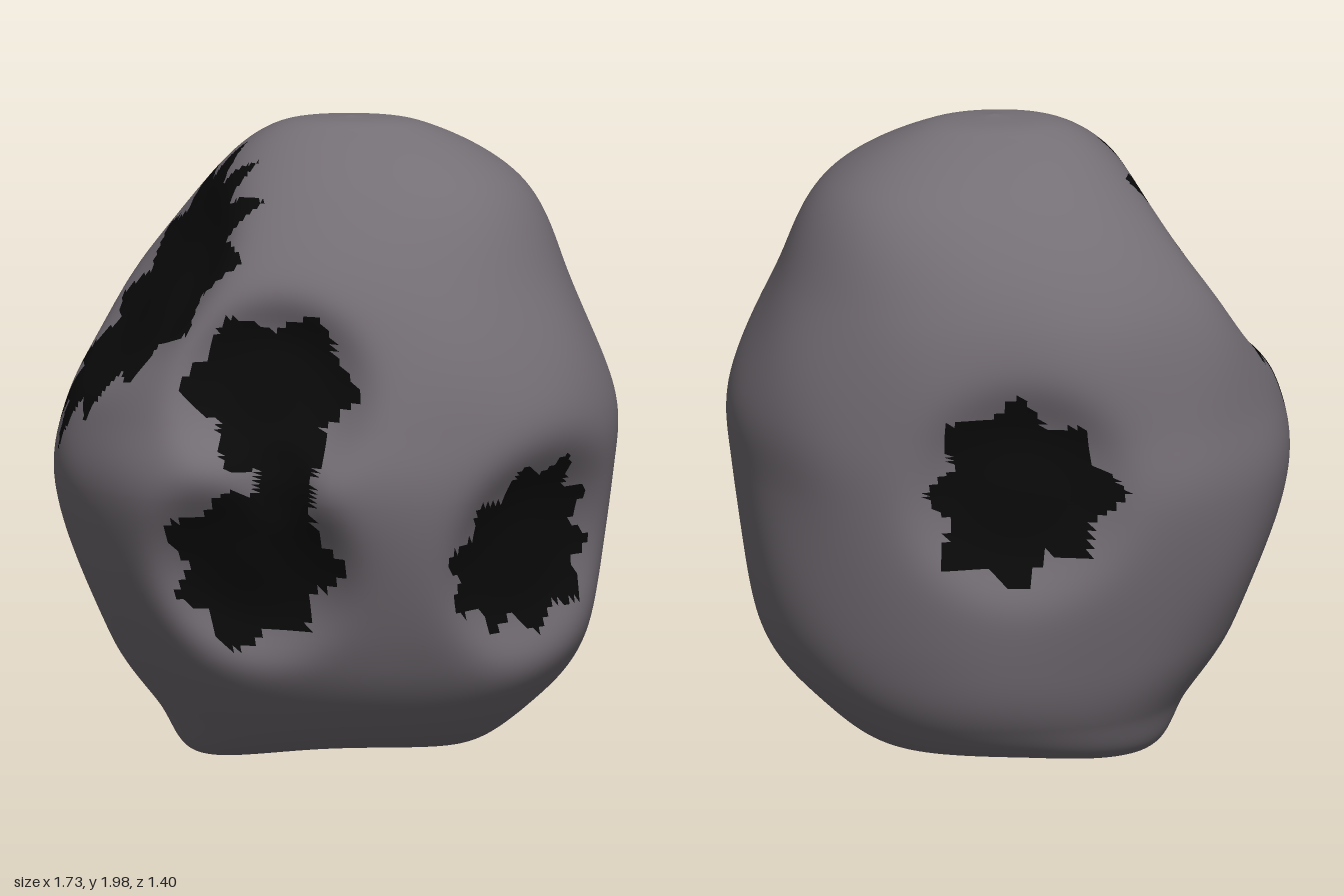
import * as THREE from 'three';

// Body cross-sections from underside to crown: [y, xMin, xMax, zMin, zMax]
const SECTIONS = [
  [0.07, 0, 0, -0.05, -0.05],
  [0.01, -0.42, 0.35, -0.4, 0.18],
  [0.18, -0.54, 0.6, -0.55, 0.42],
  [0.4, -0.69, 0.77, -0.63, 0.57],
  [0.9, -0.86, 0.85, -0.71, 0.73],
  [1.13, -0.82, 0.86, -0.7, 0.7],
  [1.5, -0.67, 0.72, -0.65, 0.58],
  [1.8, -0.4, 0.57, -0.46, 0.36],
  [1.97, -0.18, 0.28, -0.18, 0.1],
  [2, 0.05, 0.05, -0.02, -0.02],
];

// Hollows: centre, inward push, half width, half height, number of spikes
const HOLLOWS = [
  hollow([-0.19, 1.23, 0.66], [0.01, 0, -0.13], 0.27, 0.26, 6),
  hollow([-0.16, 0.95, 0.66], [0.01, 0, -0.04], 0.11, 0.16, 3),
  hollow([-0.25, 0.69, 0.66], [0.01, 0, -0.13], 0.28, 0.25, 7),
  hollow([0.63, 0.72, 0.4], [-0.1, 0, -0.07], 0.31, 0.28, 10),
  hollow([-0.54, 1.48, 0.11], [0.1, -0.08, 0], 0.34, 0.53, 13),
  hollow([0.01, 0.97, -0.7], [0, 0, 0.1], 0.3, 0.3, 8),
  hollow([0.02, 0.04, -0.09], [0, 0.08, 0], 0.36, 0.3, 10),
];

function hollow(centre, inward, width, height, spikes) {
  const c = new THREE.Vector3(...centre);
  const push = new THREE.Vector3(...inward);
  const n = push.clone().normalize().negate();
  const ref = Math.abs(n.y) > 0.9 ? new THREE.Vector3(0, 0, 1) : new THREE.Vector3(0, 1, 0);
  const right = ref.cross(n).normalize();
  const up = n.clone().cross(right);
  return { c, push, n, right, up, width, height, spikes };
}

// True where a surface point lies in the spiky outline of a hollow
function isDark(p) {
  return HOLLOWS.some((h) => {
    const d = p.clone().sub(h.c);
    if (d.dot(h.n) < -0.5) return false;
    const u = d.dot(h.right) / h.width;
    const v = d.dot(h.up) / h.height;
    const angle = Math.atan2(v, u);
    const phase = (angle / (Math.PI * 2) + 1) * h.spikes;
    const zigzag = Math.abs((phase % 1) * 2 - 1);
    const uneven = 0.07 * Math.sin(angle * 3 + h.spikes);
    return Math.hypot(u, v) < 0.76 + 0.28 * zigzag + uneven;
  });
}

// Smooth paths through the side and the front-to-back extents
const sidePath = new THREE.CatmullRomCurve3(SECTIONS.map(([y, a, b]) => new THREE.Vector3(a, y, b)));
const depthPath = new THREE.CatmullRomCurve3(SECTIONS.map(([y, , , a, b]) => new THREE.Vector3(a, y, b)));

function surfacePoint(t, angle) {
  const side = sidePath.getPoint(t);
  const depth = depthPath.getPoint(t);
  const round = (w) => Math.sign(w) * Math.abs(w) ** 0.94;
  const base = new THREE.Vector3(
    (side.x + side.z) / 2 + ((side.z - side.x) / 2) * round(Math.cos(angle)),
    side.y,
    (depth.x + depth.z) / 2 + ((depth.z - depth.x) / 2) * round(Math.sin(angle)),
  );
  const p = base.clone();
  for (const { c, push, width } of HOLLOWS) {
    p.addScaledVector(push, Math.exp(-((base.distanceTo(c) / width) ** 4)));
  }
  // Gentle unevenness
  const bump = 1 + 0.008 * Math.sin(base.x * 9 + 1) * Math.sin(base.y * 8) * Math.sin(base.z * 9 + 2);
  p.x *= bump;
  p.z *= bump;
  return p;
}

export function createModel() {
  const rows = 160;
  const cols = 180;
  const points = [];
  for (let i = 0; i <= rows; i++) {
    for (let j = 0; j < cols; j++) points.push(surfacePoint(i / rows, (j / cols) * Math.PI * 2));
  }

  // Sort the faces into plain rock and dark hollows
  const rock = [];
  const dark = [];
  const mid = new THREE.Vector3();
  const addFace = (a, b, c) => {
    mid.copy(points[a]).add(points[b]).add(points[c]).divideScalar(3);
    (isDark(mid) ? dark : rock).push(a, b, c);
  };
  for (let i = 0; i < rows; i++) {
    for (let j = 0; j < cols; j++) {
      const k = (j + 1) % cols;
      const [a, b, c, d] = [i * cols + j, i * cols + k, (i + 1) * cols + k, (i + 1) * cols + j];
      if (i < rows - 1) addFace(a, d, c);
      if (i > 0) addFace(a, c, b);
    }
  }

  // Shared smooth normals keep the two parts seamless
  const whole = new THREE.BufferGeometry().setFromPoints(points);
  whole.setIndex([...rock, ...dark]);
  whole.computeVertexNormals();

  const group = new THREE.Group();
  group.name = 'boulder';
  const addPart = (name, index, color) => {
    const geometry = new THREE.BufferGeometry();
    geometry.setAttribute('position', whole.getAttribute('position'));
    geometry.setAttribute('normal', whole.getAttribute('normal'));
    geometry.setIndex(index);
    const mesh = new THREE.Mesh(geometry, new THREE.MeshStandardMaterial({ color }));
    mesh.name = name;
    group.add(mesh);
  };
  addPart('rockBody', rock, 0x746e75);
  addPart('darkHollows', dark, 0x0a0a0a);
  return group;
}
